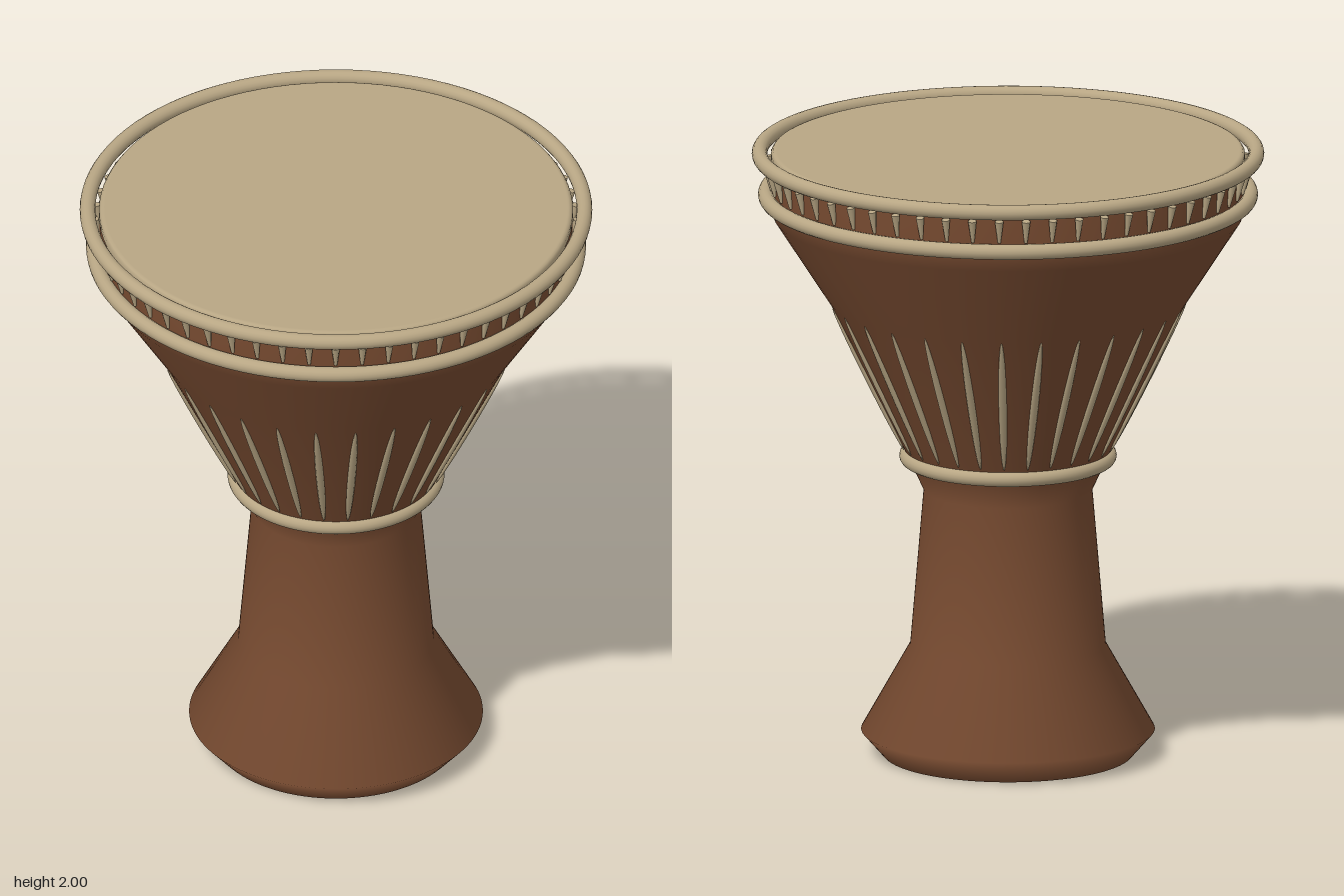
import * as THREE from 'three';

const wood = new THREE.MeshStandardMaterial({ color: 0x764a30, side: THREE.DoubleSide });
const hide = new THREE.MeshStandardMaterial({ color: 0xb8a684 });

function lathe(name, points, material) {
  const profile = points.map(([r, y]) => new THREE.Vector2(r, y));
  const mesh = new THREE.Mesh(new THREE.LatheGeometry(profile, 96), material);
  mesh.name = name;
  return mesh;
}

function ring(name, radius, y, tube = 0.025) {
  const mesh = new THREE.Mesh(new THREE.TorusGeometry(radius, tube, 16, 96), hide);
  mesh.name = name;
  mesh.rotation.x = Math.PI / 2;
  mesh.position.y = y;
  return mesh;
}

// Repeats a part around the drum, its axis running from a low to a high [radius, y] point
function around(name, count, geometry, low, high) {
  const group = new THREE.Group();
  group.name = name + 's';
  const tilt = Math.atan2(high[0] - low[0], high[1] - low[1]);
  for (let i = 0; i < count; i++) {
    const pivot = new THREE.Group();
    pivot.rotation.y = (i / count) * Math.PI * 2;
    const mesh = new THREE.Mesh(geometry, hide);
    mesh.name = name;
    mesh.position.set(0, (low[1] + high[1]) / 2, (low[0] + high[0]) / 2);
    mesh.rotation.x = tilt;
    pivot.add(mesh);
    group.add(pivot);
  }
  return group;
}

export function createModel() {
  const drum = new THREE.Group();
  drum.name = 'gobletDrum';

  // Hollow goblet shell, open at the foot
  drum.add(lathe('shell', [
    [0.4, 0], [0.47, 0.08], [0.313, 0.36], [0.27, 0.87], [0.32, 0.98],
    [0.57, 1.49], [0.75, 1.77], [0.757, 1.84], [0.757, 1.97],
  ], wood));

  // Stretched skin with a small rolled edge
  drum.add(lathe('drumHead', [
    [0.758, 1.955], [0.758, 1.975], [0.752, 1.983], [0.745, 1.985], [0.74, 1.985], [0, 1.985],
  ], hide));

  // Hoops at the rim, below the rim and at the waist
  drum.add(ring('rimHoop', 0.795, 1.975));
  drum.add(ring('lowerHoop', 0.775, 1.84));
  drum.add(ring('waistHoop', 0.323, 0.98));

  // Small pegs between the two upper hoops, narrow end down
  const peg = new THREE.CylinderGeometry(0.014, 0.005, 0.075, 8);
  drum.add(around('peg', 56, peg, [0.758, 1.865], [0.772, 1.94]));

  // Slender inlays set into the bowl
  const inlay = new THREE.SphereGeometry(1, 8, 16).scale(0.013, 0.265, 0.009);
  drum.add(around('inlay', 28, inlay, [0.338, 1.01], [0.572, 1.49]));

  return drum;
}
